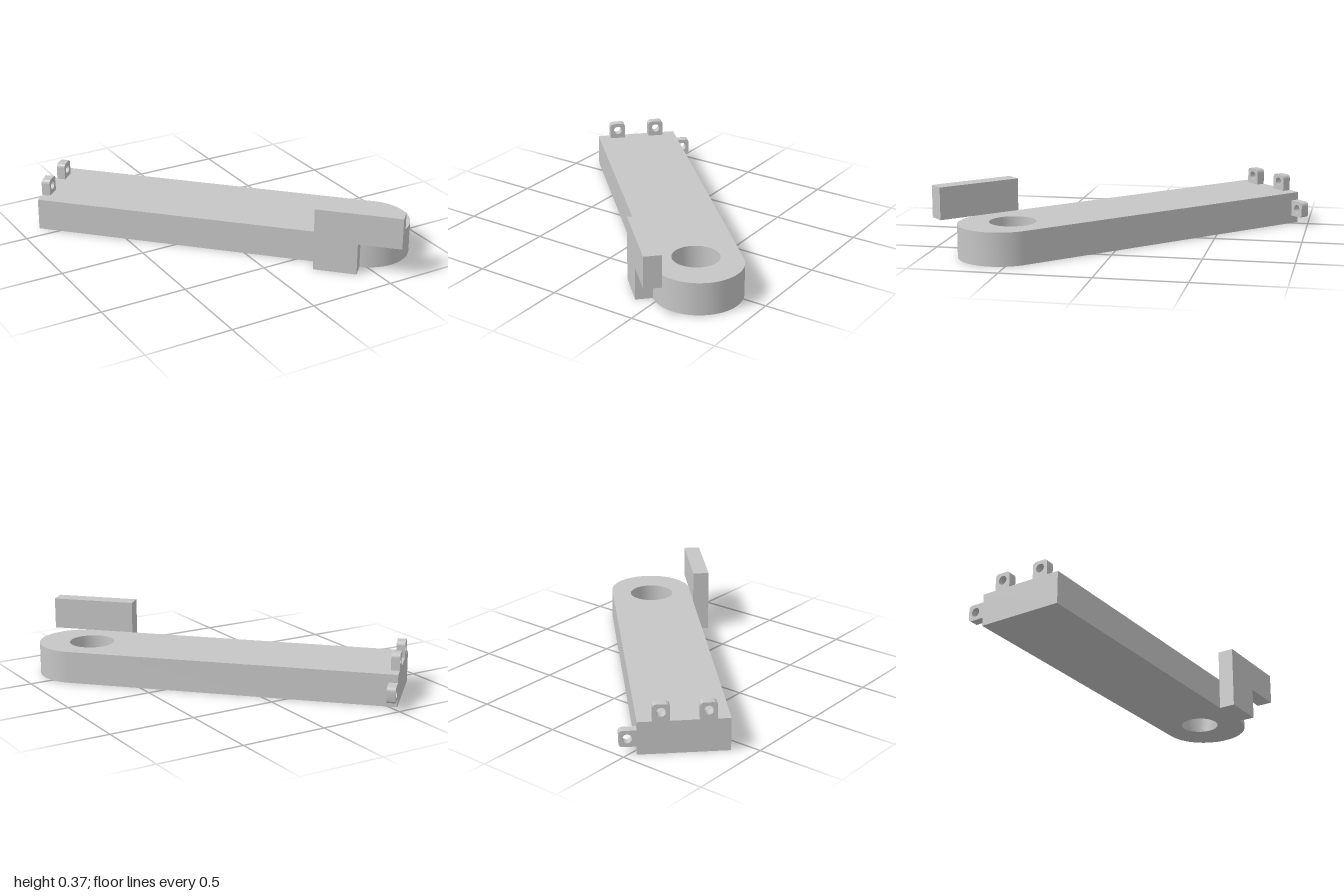
import * as THREE from 'three';
import { toCreasedNormals } from 'three/addons/utils/BufferGeometryUtils.js';

const THICK = 0.185;      // bar thickness
const END = -1.04;        // square end of the bar
const MID = -0.039;       // bar centre line
const R = 0.244;          // half width and nose radius
const HOLE_X = 0.792;

function extrude(shape, depth) {
  return new THREE.ExtrudeGeometry(shape, { depth, bevelEnabled: false, curveSegments: 32 });
}

function circleHole(x, y, r) {
  return new THREE.Path().absarc(x, y, r, 0, Math.PI * 2, true);
}

// Lays a plan shape flat, standing on y = 0
function slab(shape, height) {
  return extrude(shape, height).rotateX(Math.PI / 2).translate(0, height, 0);
}

// Small eyelet, base on y = 0, with rounded outer corners and a pin hole
function lugGeometry() {
  const w = 0.046, h = 0.094, r = 0.02;
  const s = new THREE.Shape();
  s.moveTo(-w, 0);
  s.lineTo(w, 0);
  s.lineTo(w, h - r);
  s.absarc(w - r, h - r, r, 0, Math.PI / 2);
  s.lineTo(-w + r, h);
  s.absarc(-w + r, h - r, r, Math.PI / 2, Math.PI);
  s.closePath();
  s.holes.push(circleHole(0, 0.05, 0.025));
  return extrude(s, 0.05);
}

export function createModel() {
  const model = new THREE.Group();
  model.name = 'leverArm';
  const grey = new THREE.MeshStandardMaterial({ color: 0xc6c6c6 });
  grey.name = 'plain grey';

  const arm = new THREE.Group();
  arm.name = 'arm';
  arm.rotation.y = -Math.PI / 4;
  model.add(arm);

  const add = (name, geometry) => {
    const mesh = new THREE.Mesh(toCreasedNormals(geometry, 0.5), grey);
    mesh.name = name;
    arm.add(mesh);
  };

  // Bar with a round nose and a through hole
  const bar = new THREE.Shape();
  bar.moveTo(END, MID - R);
  bar.lineTo(0.857, MID - R);
  bar.absarc(0.857, MID, R, -Math.PI / 2, Math.PI / 2);
  bar.lineTo(END, MID + R);
  bar.closePath();
  bar.holes.push(circleHole(HOLE_X, MID, 0.13));
  add('bar', slab(bar, THICK));

  // Narrow lip at the bottom of the hole
  const lip = new THREE.Shape();
  lip.absarc(HOLE_X, MID, 0.13, 0, Math.PI * 2);
  lip.holes.push(circleHole(HOLE_X, MID, 0.11));
  add('holeLip', slab(lip, 0.035));

  // Stepped plate on the side of the bar
  const plate = new THREE.Shape([
    [0.619, 0], [0.864, 0], [0.864, THICK], [1.107, THICK], [1.107, 0.367], [0.619, 0.367],
  ].map(([x, y]) => new THREE.Vector2(x, y)));
  add('sidePlate', extrude(plate, 0.095).translate(0, 0, MID + R));

  // Two eyelets on top of the square end, one on its side
  for (const [name, across] of [['topLugA', -0.088], ['topLugB', 0.158]]) {
    add(name, lugGeometry().rotateY(Math.PI / 2).translate(END, THICK, -across));
  }
  add('sideLug', lugGeometry().rotateZ(-Math.PI / 2).rotateY(Math.PI / 2).translate(END, 0.093, MID - R));

  return model;
}
